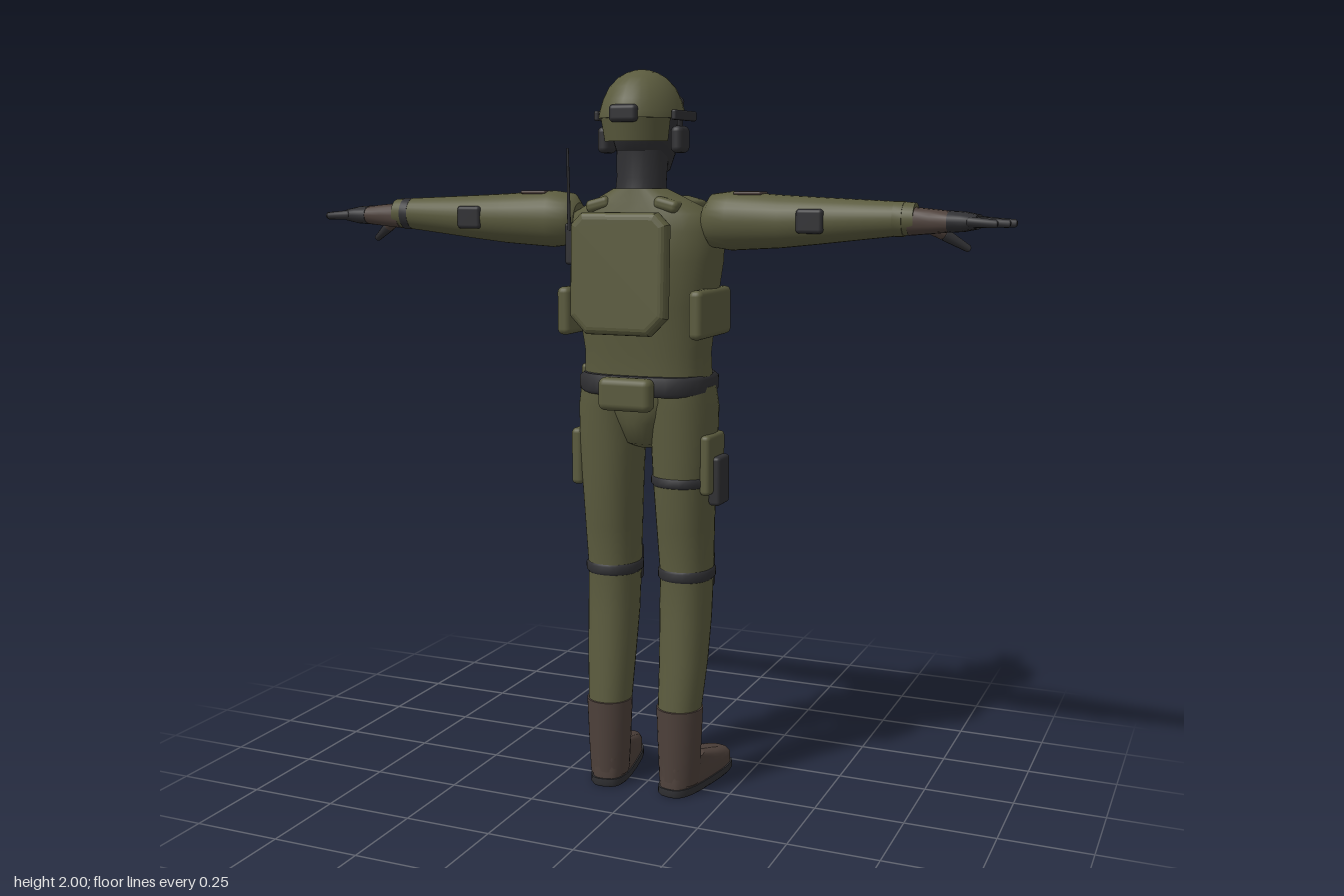
import * as THREE from 'three';
import { RoundedBoxGeometry } from 'three/addons/geometries/RoundedBoxGeometry.js';

const material = (name, color) => {
  const m = new THREE.MeshStandardMaterial({ color });
  m.name = name;
  return m;
};

// Closed tube through rising sections [y, cx, cz, rx, rz]; power below 1 squares the outline.
function loft(sections, power = 1, n = 28) {
  const pos = [], idx = [];
  const bend = v => Math.sign(v) * Math.abs(v) ** power;
  const ring = ([y, cx, cz, rx, rz]) => {
    for (let j = 0; j < n; j++) {
      const t = (j / n) * Math.PI * 2;
      pos.push(cx + rx * bend(Math.cos(t)), y, cz + rz * bend(Math.sin(t)));
    }
  };
  sections.forEach(ring);
  for (let i = 0; i < sections.length - 1; i++) for (let j = 0; j < n; j++) {
    const a = i * n + j, b = i * n + (j + 1) % n;
    idx.push(a, a + n, b, b, a + n, b + n);
  }
  // Flat end caps with their own corners keep the rims sharp.
  [sections[0], sections[sections.length - 1]].forEach((s, end) => {
    const start = pos.length / 3;
    ring(s);
    pos.push(s[1], s[0], s[2]);
    for (let j = 0; j < n; j++) {
      const a = start + j, b = start + (j + 1) % n;
      idx.push(start + n, end ? b : a, end ? a : b);
    }
  });
  const g = new THREE.BufferGeometry();
  g.setAttribute('position', new THREE.Float32BufferAttribute(pos, 3));
  g.setIndex(idx);
  g.computeVertexNormals();
  return g;
}

// Armour plate with cut corners and rounded rims, centred on the origin.
function plateGeometry(w, h, d) {
  const r = 0.02, x = w / 2 - r, y = h / 2 - r, t = 0.02, b = 0.035;
  const shape = new THREE.Shape([[-x + b, -y], [x - b, -y], [x, -y + b], [x, y - t], [x - t, y],
    [-x + t, y], [-x, y - t], [-x, -y + b]].map(p => new THREE.Vector2(...p)));
  return new THREE.ExtrudeGeometry(shape, { depth: d - 2 * r, bevelSize: r, bevelThickness: r, bevelSegments: 4 })
    .translate(0, 0, r - d / 2);
}

export function createModel() {
  const root = new THREE.Group();
  root.name = 'soldier';
  const green = material('olive cloth', 0x5b5b3e);
  const shade = material('dark olive', 0x4a4a33);
  const dark = material('charcoal', 0x303033);
  const brown = material('brown leather', 0x4e413b);

  const add = (name, geo, mat, x = 0, y = 0, z = 0, parent = root) => {
    const m = new THREE.Mesh(geo, mat);
    m.name = name;
    m.position.set(x, y, z);
    parent.add(m);
    return m;
  };
  const box = (name, mat, w, h, d, x, y, z, r = 0.012) =>
    add(name, new RoundedBoxGeometry(w, h, d, 3, Math.min(r, w / 2.1, h / 2.1, d / 2.1)), mat, x, y, z);
  // Round rod between two points.
  const rod = (name, mat, from, to, r, r2 = r) => {
    const a = new THREE.Vector3(...from), d = new THREE.Vector3(...to).sub(a), l = d.length();
    const m = add(name, loft([[0, 0, 0, r * 0.6, r * 0.6], [r * 0.4, 0, 0, r, r], [l - r2 * 0.4, 0, 0, r2, r2],
      [l, 0, 0, r2 * 0.6, r2 * 0.6]], 1, 12), mat, ...from);
    m.quaternion.setFromUnitVectors(new THREE.Vector3(0, 1, 0), d.normalize());
  };

  // Trunk
  add('torso', loft([[1.15, 0, 0, 0.182, 0.11], [1.25, 0, 0.003, 0.178, 0.108], [1.38, 0, 0.01, 0.195, 0.12],
    [1.5, 0, 0.015, 0.215, 0.127], [1.58, 0, 0.02, 0.22, 0.118], [1.625, 0, 0.03, 0.2, 0.1],
    [1.655, 0, 0.04, 0.14, 0.085], [1.69, 0, 0.055, 0.07, 0.065]], 0.8), green);
  add('pelvis', loft([[0.985, 0, 0, 0.03, 0.04], [1.0, 0, 0, 0.065, 0.075], [1.06, 0, 0, 0.09, 0.105],
    [1.12, 0, 0, 0.16, 0.113], [1.18, 0, 0, 0.18, 0.112]]), green);
  add('belt', loft([[1.138, 0, -0.007, 0.176, 0.137], [1.148, 0, -0.007, 0.187, 0.147],
    [1.182, 0, -0.007, 0.187, 0.147], [1.192, 0, -0.007, 0.176, 0.137]], 0.7), dark);
  box('buckle', dark, 0.07, 0.05, 0.02, 0, 1.165, -0.15);
  box('backBeltPouch', green, 0.155, 0.09, 0.05, 0, 1.147, 0.152, 0.02);
  box('sideBeltPouch', green, 0.04, 0.085, 0.07, -0.195, 1.16, -0.05);

  // Vest plates and pouches
  add('backPlate', plateGeometry(0.275, 0.32, 0.05), green, 0, 1.47, 0.192).rotation.x = -0.04;
  add('frontPlate', plateGeometry(0.25, 0.3, 0.05), green, 0, 1.475, -0.137).rotation.x = 0.03;
  for (const x of [-0.075, 0, 0.075]) {
    box('magazinePouch', green, 0.064, 0.125, 0.045, x, 1.373, -0.163, 0.014);
    box('pouchFlap', shade, 0.056, 0.03, 0.04, x, 1.432, -0.16);
  }
  box('chestStrip', brown, 0.15, 0.022, 0.009, 0, 1.57, -0.162, 0.003);
  box('chestStrip', shade, 0.18, 0.022, 0.009, 0, 1.515, -0.163, 0.003);
  box('radio', dark, 0.04, 0.11, 0.04, -0.15, 1.545, 0.152, 0.008);
  rod('antenna', dark, [-0.155, 1.58, 0.172], [-0.155, 1.795, 0.178], 0.005, 0.003);

  // Neck and masked head
  add('neck', loft([[1.665, 0, 0.055, 0.07, 0.062], [1.72, 0, 0.045, 0.068, 0.062], [1.79, 0, 0.04, 0.07, 0.07]]), dark);
  add('maskedHead', loft([[1.722, 0, -0.022, 0.03, 0.028], [1.74, 0, -0.01, 0.055, 0.055], [1.78, 0, 0.015, 0.077, 0.085],
    [1.84, 0, 0.028, 0.087, 0.102], [1.9, 0, 0.03, 0.085, 0.105]]), dark);
  box('nose', dark, 0.03, 0.045, 0.03, 0, 1.805, -0.07);

  // Helmet
  add('helmetDome', loft([[1.872, 0, 0.04, 0.112, 0.136], [1.89, 0, 0.04, 0.11, 0.134],
    ...[0.2, 0.4, 0.6, 0.75, 0.88, 0.96, 1].map(t => {
      const c = Math.cos(t * Math.PI / 2) + 0.002;
      return [1.885 + 0.115 * Math.sin(t * Math.PI / 2), 0, 0.04, 0.106 * c, 0.13 * c];
    })]), green);
  const skirtMat = material('olive helmet skirt', 0x5b5b3e);
  skirtMat.side = THREE.DoubleSide;
  add('helmetSkirt', new THREE.CylinderGeometry(0.108, 0.097, 0.067, 28, 1, true, -1.2, 2.4).scale(1, 1, 1.2),
    skirtMat, 0, 1.846, 0.04);
  box('counterweight', dark, 0.08, 0.045, 0.025, 0, 1.883, 0.165);
  box('goggleMount', dark, 0.13, 0.045, 0.03, 0, 1.87, -0.083);
  box('opticBridge', dark, 0.075, 0.028, 0.035, 0, 1.905, -0.095);

  for (const s of [1, -1]) {
    // Helmet fittings
    box('helmetRail', dark, 0.014, 0.026, 0.15, s * 0.111, 1.88, 0.02, 0.005);
    box('earCup', dark, 0.035, 0.07, 0.068, s * 0.106, 1.818, 0.035, 0.015);
    rod('opticTube', dark, [s * 0.024, 1.9, -0.085], [s * 0.024, 1.927, -0.16], 0.018);

    // Vest sides
    box('shoulderStrap', green, 0.07, 0.034, 0.23, s * 0.098, 1.648, 0.01, 0.014).rotation.z = -s * 0.25;
    box('sidePouch', green, 0.04, 0.13, 0.235, s * 0.191, 1.363, 0.027, 0.016);

    // Arm
    const arm = loft([[0.185, 0, 0.045, 0.045, 0.042], [0.205, -0.001 * s, 0.045, 0.07, 0.066],
      [0.26, -0.001 * s, 0.048, 0.077, 0.071], [0.4, -0.001 * s, 0.055, 0.068, 0.065], [0.5, -0.004 * s, 0.06, 0.06, 0.059],
      [0.72, -0.012 * s, 0.066, 0.042, 0.042], [0.75, -0.012 * s, 0.066, 0.04, 0.04]]
      .map(([y, ...r]) => [y, ...r])).rotateZ(-s * Math.PI / 2);
    add('arm', arm, green, 0, 1.606, 0);
    box('elbowPad', dark, 0.072, 0.062, 0.022, s * 0.49, 1.61, 0.114, 0.01);
    box('armPatch', brown, 0.075, 0.009, 0.06, s * 0.31, 1.679, 0.052, 0.004);
    add('wristBand', loft([[-0.012, 0, 0, 0.044, 0.044], [0.012, 0, 0, 0.044, 0.044]]).rotateZ(Math.PI / 2),
      s > 0 ? green : dark, s * 0.71, 1.617, 0.066);

    // Glove and fingers
    const glove = (name, mat, rows) => add(name, loft(rows, 0.8, 20).rotateZ(-s * Math.PI / 2), mat, 0, 1.612, 0);
    glove('gloveCuff', brown, [[0.735, 0, 0.066, 0.036, 0.037], [0.79, 0, 0.064, 0.031, 0.042], [0.84, 0, 0.061, 0.026, 0.053]]);
    glove('palm', dark, [[0.835, 0, 0.061, 0.027, 0.054], [0.87, 0, 0.06, 0.025, 0.058], [0.905, 0, 0.06, 0.018, 0.055]]);
    [0.96, 0.985, 0.995, 0.965].forEach((tip, i) => {
      const z = 0.108 - i * 0.031;
      rod('finger', dark, [s * 0.885, 1.613, z], [s * tip, 1.609, z + (1.5 - i) * 0.002], 0.0135, 0.01);
    });
    rod('thumbBase', brown, [s * 0.775, 1.603, 0.04], [s * 0.815, 1.577, 0.017], 0.019, 0.016);
    rod('thumbTip', dark, [s * 0.81, 1.58, 0.02], [s * 0.872, 1.541, -0.008], 0.0155, 0.009);

    // Leg
    add('leg', loft([[0.24, s * 0.107, 0.026, 0.06, 0.064], [0.38, s * 0.11, 0.005, 0.067, 0.073],
      [0.5, s * 0.11, -0.01, 0.071, 0.08], [0.63, s * 0.11, -0.018, 0.073, 0.082], [0.76, s * 0.109, -0.01, 0.078, 0.09],
      [0.9, s * 0.108, -0.002, 0.084, 0.097], [1.0, s * 0.108, -0.002, 0.089, 0.101],
      [1.1, s * 0.107, -0.004, 0.09, 0.112], [1.16, s * 0.1, -0.003, 0.088, 0.112]], 0.92), green);
    add('kneeStrap', loft([[-0.016, 0, 0, 0.073, 0.083], [-0.009, 0, 0, 0.079, 0.088], [0.009, 0, 0, 0.079, 0.088],
      [0.016, 0, 0, 0.073, 0.083]], 0.92), dark, s * 0.11, 0.632, -0.018);
    box('kneePad', dark, 0.105, 0.11, 0.04, s * 0.11, 0.625, -0.092, 0.014);

    // Boot, with the toe turned outward
    const boot = new THREE.Group();
    boot.name = 'boot';
    boot.position.set(s * 0.108, 0, 0.028);
    boot.rotation.y = -s * 0.17;
    root.add(boot);
    add('bootShaft', loft([[0.03, 0, 0, 0.055, 0.062], [0.12, 0, 0, 0.06, 0.064], [0.25, 0, 0, 0.065, 0.069]]), brown, 0, 0, 0, boot);
    add('bootFoot', loft([[0.022, 0, -0.09, 0.054, 0.153], [0.05, 0, -0.09, 0.054, 0.152], [0.064, 0, -0.083, 0.051, 0.143],
      [0.08, 0, -0.05, 0.05, 0.112], [0.1, 0, -0.012, 0.05, 0.07]], 0.65), brown, 0, 0, 0, boot);
    add('sole', loft([[0, 0, -0.09, 0.054, 0.154], [0.006, 0, -0.09, 0.059, 0.159], [0.024, 0, -0.09, 0.058, 0.158]], 0.65),
      dark, 0, 0, 0, boot);
  }

  // Thigh gear
  box('thighPouch', green, 0.035, 0.16, 0.12, -0.192, 0.95, 0.005, 0.014);
  box('holsterPanel', green, 0.03, 0.165, 0.125, 0.192, 0.95, 0.005, 0.012);
  box('holster', dark, 0.035, 0.135, 0.08, 0.208, 0.903, -0.005, 0.01);
  add('thighStrap', loft([[-0.014, 0, 0, 0.083, 0.096], [-0.008, 0, 0, 0.089, 0.102], [0.008, 0, 0, 0.089, 0.102],
    [0.014, 0, 0, 0.083, 0.096]], 0.92), dark, 0.108, 0.9, -0.002);
  return root;
}
